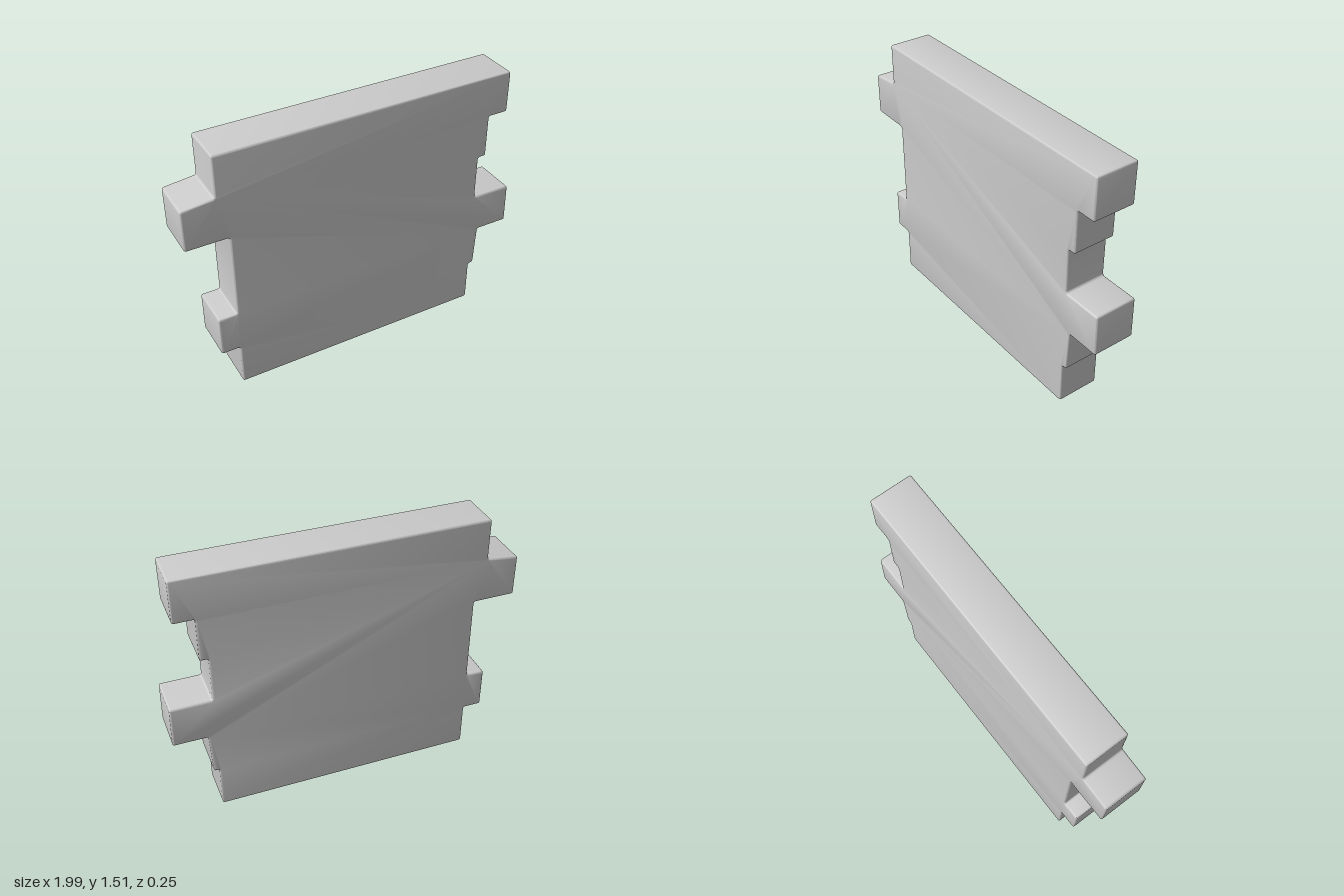
import * as THREE from 'three';
import { toCreasedNormals } from 'three/addons/utils/BufferGeometryUtils.js';

// Closed outline with every corner slightly rounded
function roundedShape(points, radius) {
  const pts = points.map(([x, y]) => new THREE.Vector2(x, y));
  const shape = new THREE.Shape();
  pts.forEach((p, i) => {
    const prev = pts[(i + pts.length - 1) % pts.length];
    const next = pts[(i + 1) % pts.length];
    const a = prev.clone().sub(p).setLength(radius).add(p);
    const b = next.clone().sub(p).setLength(radius).add(p);
    if (i === 0) shape.moveTo(a.x, a.y);
    else shape.lineTo(a.x, a.y);
    shape.quadraticCurveTo(p.x, p.y, b.x, b.y);
  });
  shape.closePath();
  return shape;
}

export function createModel() {
  const group = new THREE.Group();
  group.name = 'wallSection';

  // Wall outline with toothed brick ends, counter-clockwise from bottom left
  const outline = [
    [-0.755, 0], [0.752, 0],
    [0.752, 0.257], [0.783, 0.257], [0.795, 0.507], // lower right half brick
    [0.99, 0.507], [0.985, 0.75], [0.752, 0.75], // long right brick
    [0.752, 1.018], [0.8, 1.018], [0.8, 1.27], // upper right half brick
    [0.917, 1.27], [0.917, 1.514], // top course
    [-0.815, 1.51], [-0.815, 1.27],
    [-0.998, 1.25], [-0.998, 1.01], [-0.755, 1.01], // long left brick
    [-0.755, 0.502], [-0.863, 0.502], [-0.863, 0.258], [-0.755, 0.258], // short left brick
  ];

  // Slab with softened front and back edges
  const depth = 0.252, bevel = 0.01;
  const geometry = new THREE.ExtrudeGeometry(roundedShape(outline, 0.013), {
    depth: depth - 2 * bevel,
    curveSegments: 3,
    bevelEnabled: true,
    bevelSize: bevel,
    bevelThickness: bevel,
    bevelOffset: -bevel,
    bevelSegments: 3,
  });
  geometry.translate(0, 0, bevel - depth / 2);

  const wall = new THREE.Mesh(
    toCreasedNormals(geometry, 0.6),
    new THREE.MeshStandardMaterial({ color: 0xcccccc })
  );
  wall.name = 'brickWallSlab';
  group.add(wall);
  return group;
}
